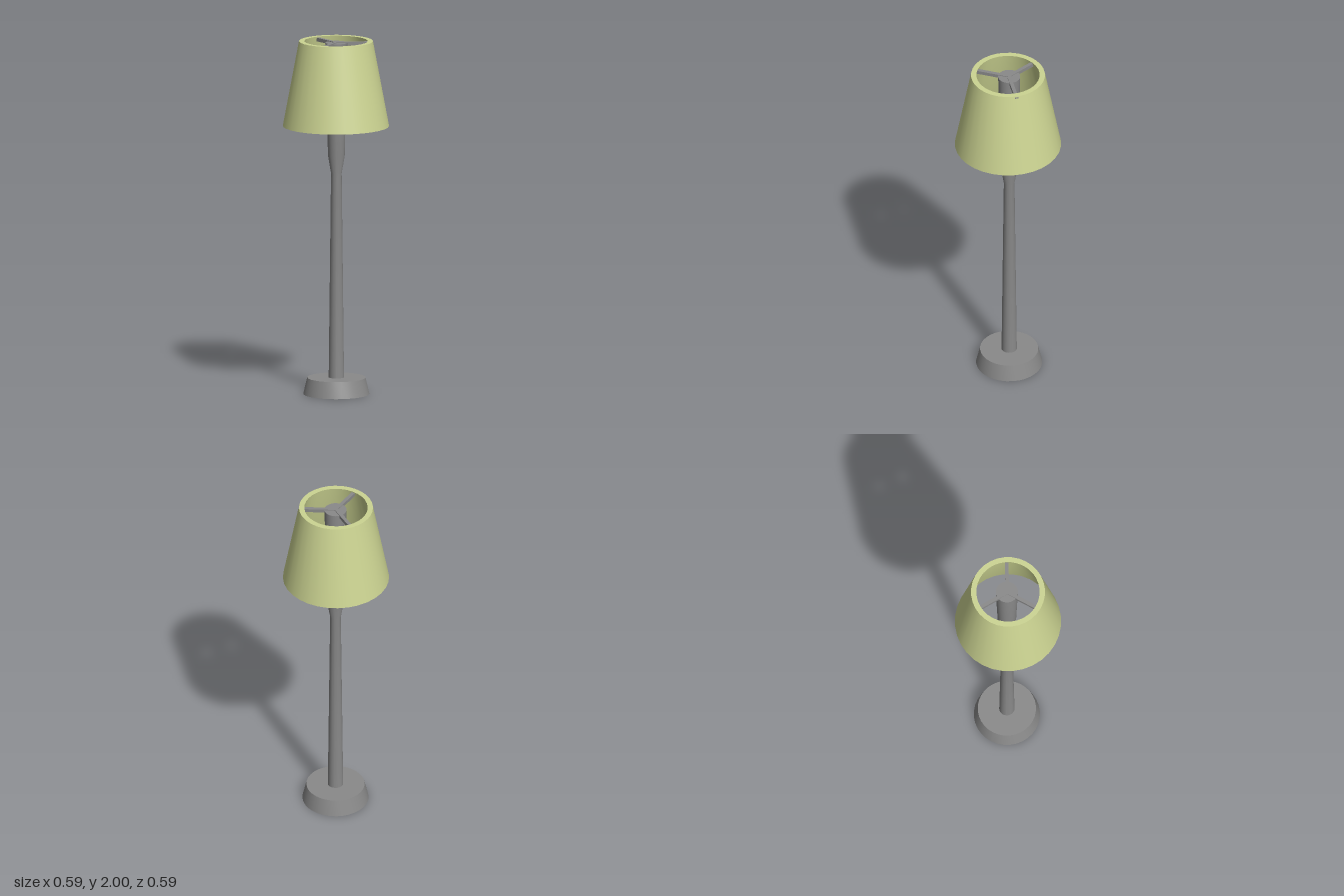
import * as THREE from 'three';
import { toCreasedNormals } from 'three/addons/utils/BufferGeometryUtils.js';

const SIDES = 32;

// Turned part from [radius, height] pairs, running up the outside
function turned(name, profile, material) {
  const points = profile.map(([r, y]) => new THREE.Vector2(r, y));
  const geometry = toCreasedNormals(new THREE.LatheGeometry(points, SIDES), 0.35);
  const mesh = new THREE.Mesh(geometry, material);
  mesh.name = name;
  return mesh;
}

export function createModel() {
  const model = new THREE.Group();
  model.name = 'floorLamp';
  const metal = new THREE.MeshStandardMaterial({ color: 0x8a8a8a });
  const fabric = new THREE.MeshStandardMaterial({ color: 0xccd492 });

  // Stand sits slightly off the shade's axis
  const stand = new THREE.Group();
  stand.name = 'stand';
  stand.position.set(0.003, 0, -0.006);
  model.add(stand);

  stand.add(turned('base', [[0, 0], [0.185, 0], [0.163, 0.093], [0, 0.093]], metal));

  // Tapered pole that flares into the lamp holder
  stand.add(turned('pole', [
    [0, 0.09], [0.043, 0.09], [0.03, 1.25], [0.047, 1.35], [0.062, 1.99], [0, 1.99],
  ], metal));

  // Three spokes carrying the shade; the first just pierces its wall
  const spokes = new THREE.Group();
  spokes.name = 'spokes';
  spokes.position.set(0.001, 1.984, -0.004);
  [0.208, 0.19, 0.19].forEach((length, i) => {
    const geometry = new THREE.BoxGeometry(length, 0.02, 0.02);
    geometry.translate(length / 2, 0, 0);
    const spoke = new THREE.Mesh(geometry, metal);
    spoke.name = `spoke${i + 1}`;
    spoke.rotation.y = -THREE.MathUtils.degToRad(4.5 + i * 120);
    spokes.add(spoke);
  });
  model.add(spokes);

  // Thick-walled open shade with a bevelled lower lip
  model.add(turned('shade', [
    [0.297, 1.52], [0.207, 2], [0.177, 2], [0.26, 1.575], [0.283, 1.52], [0.297, 1.52],
  ], fabric));

  return model;
}
